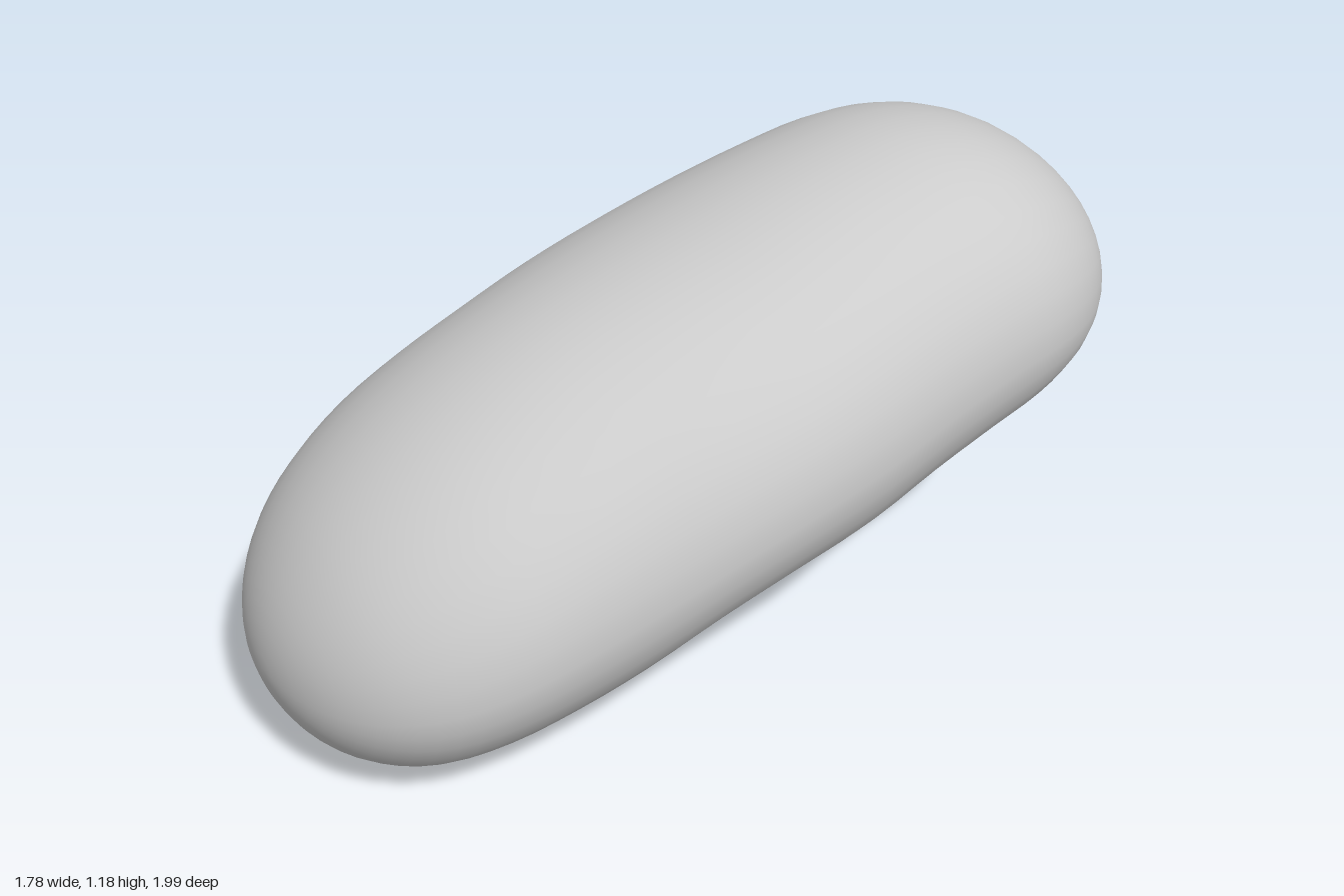
import * as THREE from 'three';
import { mergeVertices } from 'three/addons/utils/BufferGeometryUtils.js';

// Cross-sections every 10 degrees from the low end to the high end: [top y, bottom y, half width]
const SECTIONS = [
  [0.28, 0.28, 0], [0.39, 0.185, 0.137], [0.50, 0.10, 0.268], [0.61, 0.037, 0.378],
  [0.71, 0.002, 0.46], [0.80, 0.006, 0.512], [0.88, 0.028, 0.535], [0.95, 0.07, 0.55],
  [1.008, 0.145, 0.57], [1.06, 0.203, 0.58], [1.112, 0.24, 0.57], [1.153, 0.30, 0.55],
  [1.178, 0.355, 0.535], [1.167, 0.40, 0.512], [1.12, 0.448, 0.46], [1.045, 0.52, 0.378],
  [0.955, 0.595, 0.268], [0.86, 0.675, 0.137], [0.76, 0.76, 0],
];
const HALF_LENGTH = 1.11;
const WIDEST = 0.45; // height of the widest level within a section
const ROLL = 0.06;   // slight lean about the long axis
const DIR = new THREE.Vector3(0.608, 0, -0.794).normalize(); // long axis seen from above
const SIDE = new THREE.Vector3(-DIR.z, 0, DIR.x);            // across the body

function bodyGeometry(rings = 54, segments = 40) {
  const profile = new THREE.CatmullRomCurve3(
    SECTIONS.map((s) => new THREE.Vector3(...s)), false, 'catmullrom', 0.5);
  const positions = [];
  const index = [];
  const p = new THREE.Vector3();

  // Egg-shaped rings, spaced more closely toward the rounded ends
  for (let i = 0; i <= rings; i++) {
    const s = HALF_LENGTH * Math.sin((i / rings - 0.5) * Math.PI);
    const { x: top, y: bottom, z: width } = profile.getPoint(i / rings);
    const level = bottom + (top - bottom) * WIDEST;
    for (let j = 0; j < segments; j++) {
      const a = (j / segments) * Math.PI * 2;
      const w = width * Math.cos(a);
      const height = Math.sin(a) > 0 ? top - level : level - bottom;
      p.copy(DIR).multiplyScalar(s).addScaledVector(SIDE, w);
      p.y = level + height * Math.sin(a) + ROLL * w;
      positions.push(p.x, p.y, p.z);
    }
  }

  // Skin between neighbouring rings, with single triangles at the tips
  for (let i = 0; i < rings; i++) {
    for (let j = 0; j < segments; j++) {
      const a = i * segments + j, b = i * segments + (j + 1) % segments;
      const c = a + segments, d = b + segments;
      if (i > 0) index.push(a, c, b);
      if (i < rings - 1) index.push(b, c, d);
    }
  }

  const geometry = new THREE.BufferGeometry();
  geometry.setAttribute('position', new THREE.Float32BufferAttribute(positions, 3));
  geometry.setIndex(index);
  const merged = mergeVertices(geometry, 1e-5); // joins the points at both tips
  merged.computeVertexNormals();
  return merged;
}

export function createModel() {
  const group = new THREE.Group();
  group.name = 'bean';
  const body = new THREE.Mesh(bodyGeometry(), new THREE.MeshStandardMaterial({ color: 0xcccccc }));
  body.name = 'beanBody';
  group.add(body);
  return group;
}
